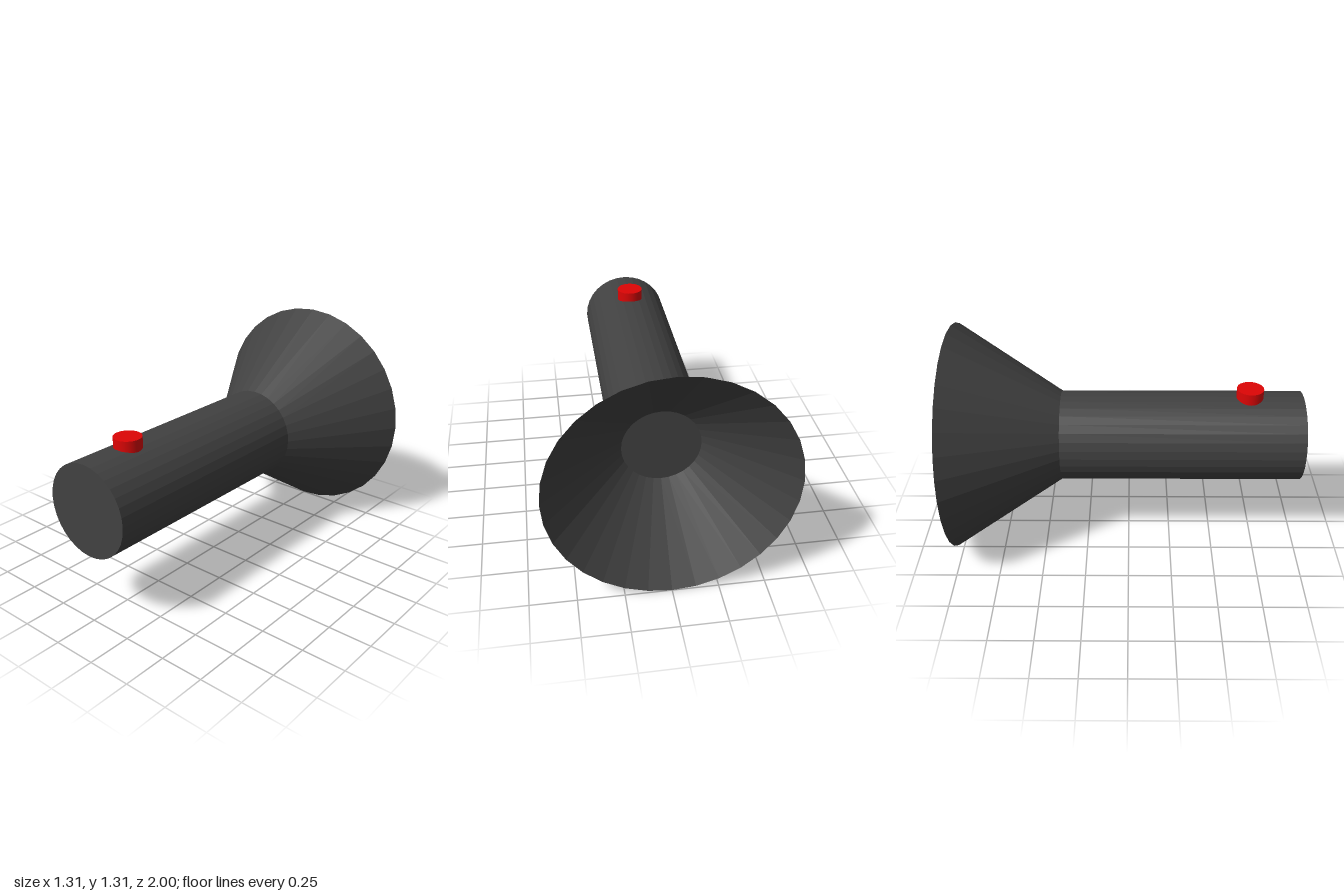
import * as THREE from 'three';

export function createModel() {
  const charcoal = new THREE.MeshStandardMaterial({ color: 0x414141 });
  charcoal.name = 'charcoal';
  charcoal.flatShading = true;
  const red = new THREE.MeshStandardMaterial({ color: 0xdd0505 });
  red.name = 'red';

  const axisY = 0.655, bodyR = 0.26, rimR = 0.655, neckZ = -0.39, sides = 32;
  const lensR = 0.215, lensZ = -0.605;
  const model = new THREE.Group();
  model.name = 'flashlight';

  const add = (name, geometry, material, y, z) => {
    const mesh = new THREE.Mesh(geometry, material);
    mesh.name = name;
    mesh.position.set(0, y, z);
    model.add(mesh);
  };

  // Barrel along z, closed at both ends
  const bodyLength = 1 - neckZ;
  add('body', new THREE.CylinderGeometry(bodyR, bodyR, bodyLength, sides).rotateX(Math.PI / 2),
    charcoal, axisY, neckZ + bodyLength / 2);

  // Flared head: flat lens, shallow reflector bowl, sharp rim, then the outer cone
  const headProfile = [[0, lensZ], [lensR, lensZ], [rimR, -1], [bodyR, neckZ]]
    .map(([r, z]) => new THREE.Vector2(r, z));
  add('head', new THREE.LatheGeometry(headProfile, sides).rotateX(Math.PI / 2), charcoal, axisY, 0);

  // Round push button sunk into the top of the barrel
  add('button', new THREE.CylinderGeometry(0.077, 0.077, 0.1, sides), red, 0.919, 0.692);

  return model;
}
